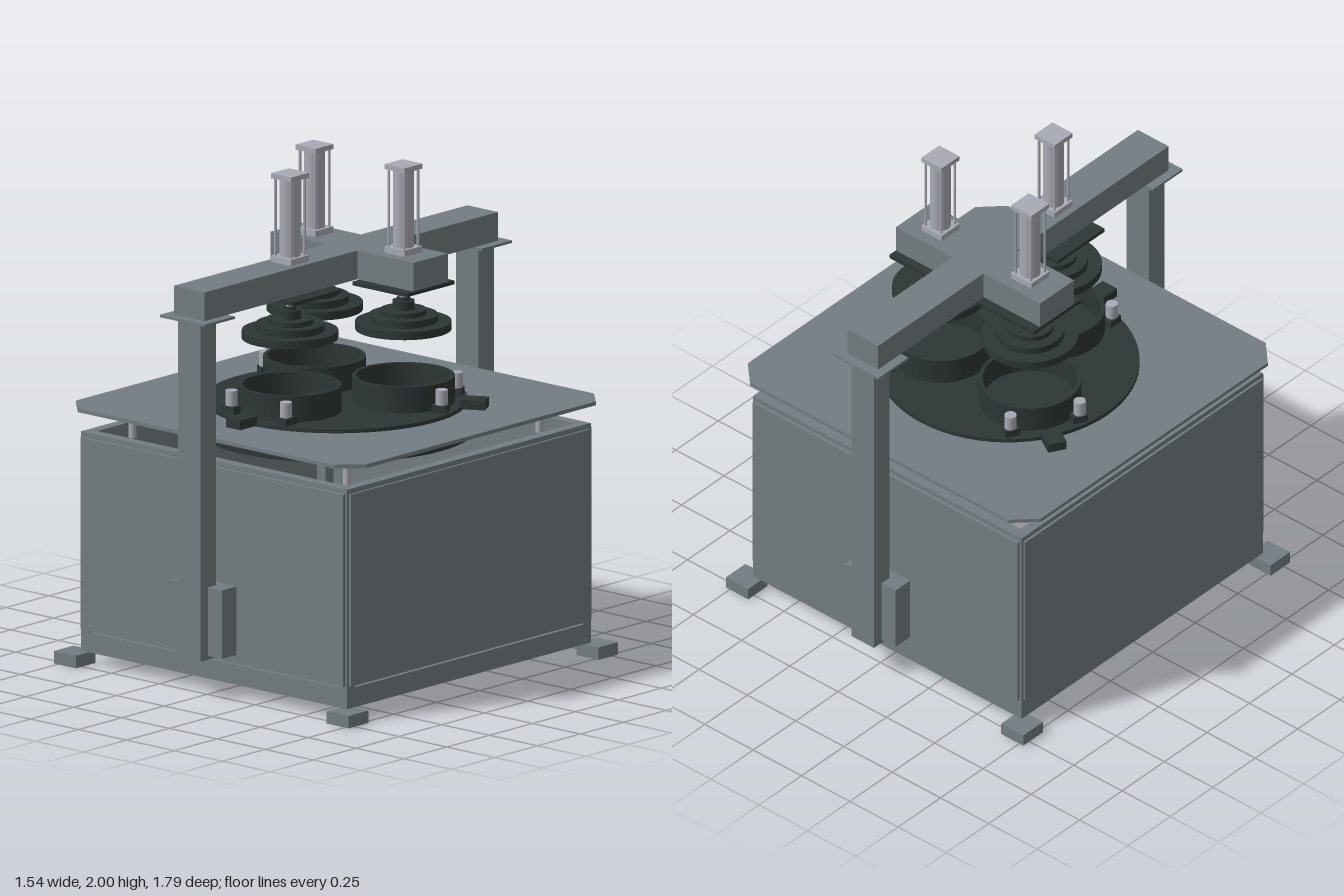
import * as THREE from 'three';
import { toCreasedNormals } from 'three/addons/utils/BufferGeometryUtils.js';

const material = (name, color) => {
  const m = new THREE.MeshStandardMaterial({ color });
  m.name = name;
  return m;
};

export function createModel() {
  const model = new THREE.Group();
  model.name = 'rotaryPressMachine';
  const steel = material('greySteel', 0x737d81);
  const dark = material('darkSteel', 0x2d3635);
  const light = material('lightMetal', 0xa8abb3);

  const add = (parent, name, geometry, mat, x = 0, y = 0, z = 0) => {
    const mesh = new THREE.Mesh(geometry, mat);
    mesh.name = name;
    mesh.position.set(x, y, z);
    parent.add(mesh);
    return mesh;
  };
  // Box and cylinder helpers take their bottom and top heights
  const box = (parent, name, mat, w, y0, y1, d, x = 0, z = 0) =>
    add(parent, name, new THREE.BoxGeometry(w, y1 - y0, d), mat, x, (y0 + y1) / 2, z);
  const rod = (parent, name, mat, r, y0, y1, x = 0, z = 0, sides = 32) =>
    add(parent, name, new THREE.CylinderGeometry(r, r, y1 - y0, sides), mat, x, (y0 + y1) / 2, z);
  const group = (name) => {
    const g = new THREE.Group();
    g.name = name;
    model.add(g);
    return g;
  };

  // Cabinet: open frame with feet, corner posts, rails and thin panels
  const cabinet = group('cabinet');
  const FX = 0.695, FZ = 0.71, T = 0.045;
  for (const sx of [-1, 1]) {
    for (const sz of [-1, 1]) {
      box(cabinet, 'foot', steel, 0.115, 0, 0.05, 0.115, sx * 0.7125, sz * 0.7275);
      box(cabinet, 'cornerPost', steel, T, 0.05, 0.93, T, sx * (FX - T / 2), sz * (FZ - T / 2));
      rod(cabinet, 'tableSupport', light, 0.016, 0.9, 1.02, sx * 0.56, sz * 0.56, 16);
    }
  }
  for (const s of [-1, 1]) {
    for (const [y0, y1] of [[0.05, 0.13], [0.88, 0.93]]) {
      box(cabinet, 'crossRail', steel, 2 * (FX - T), y0, y1, T, 0, s * (FZ - T / 2));
      box(cabinet, 'sideRail', steel, T, y0, y1, 2 * (FZ - T), s * (FX - T / 2), 0);
    }
    box(cabinet, 'endPanel', steel, 1.37, 0.14, 0.91, 0.014, 0, s * (FZ + 0.007));
    box(cabinet, 'sidePanel', steel, 0.01, 0.14, 0.91, 1.4, s * (FX + 0.005), 0);
  }

  // Table top with clipped corners
  const W = 0.758, C = 0.09;
  const outline = new THREE.Shape([
    [W - C, -W], [W, C - W], [W, W - C], [W - C, W],
    [C - W, W], [-W, W - C], [-W, C - W], [C - W, -W],
  ].map(([x, y]) => new THREE.Vector2(x, y)));
  const tableGeometry = new THREE.ExtrudeGeometry(outline, { depth: 0.015, bevelEnabled: false });
  tableGeometry.rotateX(-Math.PI / 2);
  add(model, 'tableTop', tableGeometry, steel, 0, 1.02, 0);

  // Rotary drive below the table and turntable above it
  rod(model, 'rotaryDrive', dark, 0.545, 0.925, 1.02, 0, 0, 64);
  rod(model, 'turntable', dark, 0.512, 1.035, 1.05, 0, 0, 64);

  // Ring-shaped work cup
  const ring = new THREE.Shape().absarc(0, 0, 0.2, 0, Math.PI * 2);
  ring.holes.push(new THREE.Path().absarc(0, 0, 0.184, 0, Math.PI * 2, true));
  let cupGeometry = new THREE.ExtrudeGeometry(ring, { depth: 0.105, bevelEnabled: false, curveSegments: 48 });
  cupGeometry.rotateX(-Math.PI / 2);
  cupGeometry = toCreasedNormals(cupGeometry, 0.6);

  const R = 0.268;
  for (let k = 0; k < 3; k++) {
    const a = (k * Math.PI * 2) / 3;

    // Work station on the turntable, local +z points outward
    const station = group('workStation');
    station.rotation.y = a;
    add(station, 'workCup', cupGeometry, dark, 0, 1.05, R);
    box(station, 'stopLug', dark, 0.075, 1.037, 1.075, 0.1, 0, 0.55);
    for (const s of [-1, 1]) {
      box(station, 'pinBase', dark, 0.06, 1.05, 1.08, 0.06, s * 0.138, 0.445);
      rod(station, 'clampPin', light, 0.024, 1.08, 1.14, s * 0.142, 0.45, 16);
    }

    // Press unit hanging from the gantry, square to the beam
    const press = group('pressUnit');
    press.position.set(R * Math.sin(a), 0, R * Math.cos(a));
    box(press, 'mountPlate', dark, 0.285, 1.515, 1.53, 0.278);
    box(press, 'cylinderBase', light, 0.105, 1.645, 1.67, 0.105);
    box(press, 'cylinderCap', light, 0.105, 1.98, 2.0, 0.105);
    rod(press, 'cylinderBody', light, 0.041, 1.67, 1.98);
    for (const sx of [-1, 1]) for (const sz of [-1, 1])
      rod(press, 'tieRod', light, 0.005, 1.67, 1.98, sx * 0.04, sz * 0.04, 8);
    rod(press, 'pistonRod', light, 0.016, 1.46, 1.515, 0, 0, 16);
    for (const [r, y0, y1] of [
      [0.025, 1.455, 1.468], [0.043, 1.42, 1.455], [0.09, 1.4, 1.42],
      [0.134, 1.372, 1.4], [0.188, 1.34, 1.372],
    ]) rod(press, 'pressHead', dark, r, y0, y1, 0, 0, 48);
  }

  // Gantry: columns, brackets, main beam and cross arm
  const gantry = group('gantry');
  for (const s of [-1, 1]) {
    box(gantry, 'column', steel, 0.116, 0.16, 1.52, 0.09, 0, s * 0.81);
    box(gantry, 'columnBracket', steel, 0.26, 0.175, 0.45, 0.086, 0, s * 0.767);
    box(gantry, 'columnPlate', steel, 0.235, 1.52, 1.53, 0.175, 0, s * 0.8075);
  }
  box(gantry, 'mainBeam', steel, 0.16, 1.53, 1.645, 1.71);
  for (const s of [-1, 1])
    box(gantry, 'crossArm', steel, 0.293, 1.53, 1.645, 0.2, s * 0.2265, -0.135);

  return model;
}
